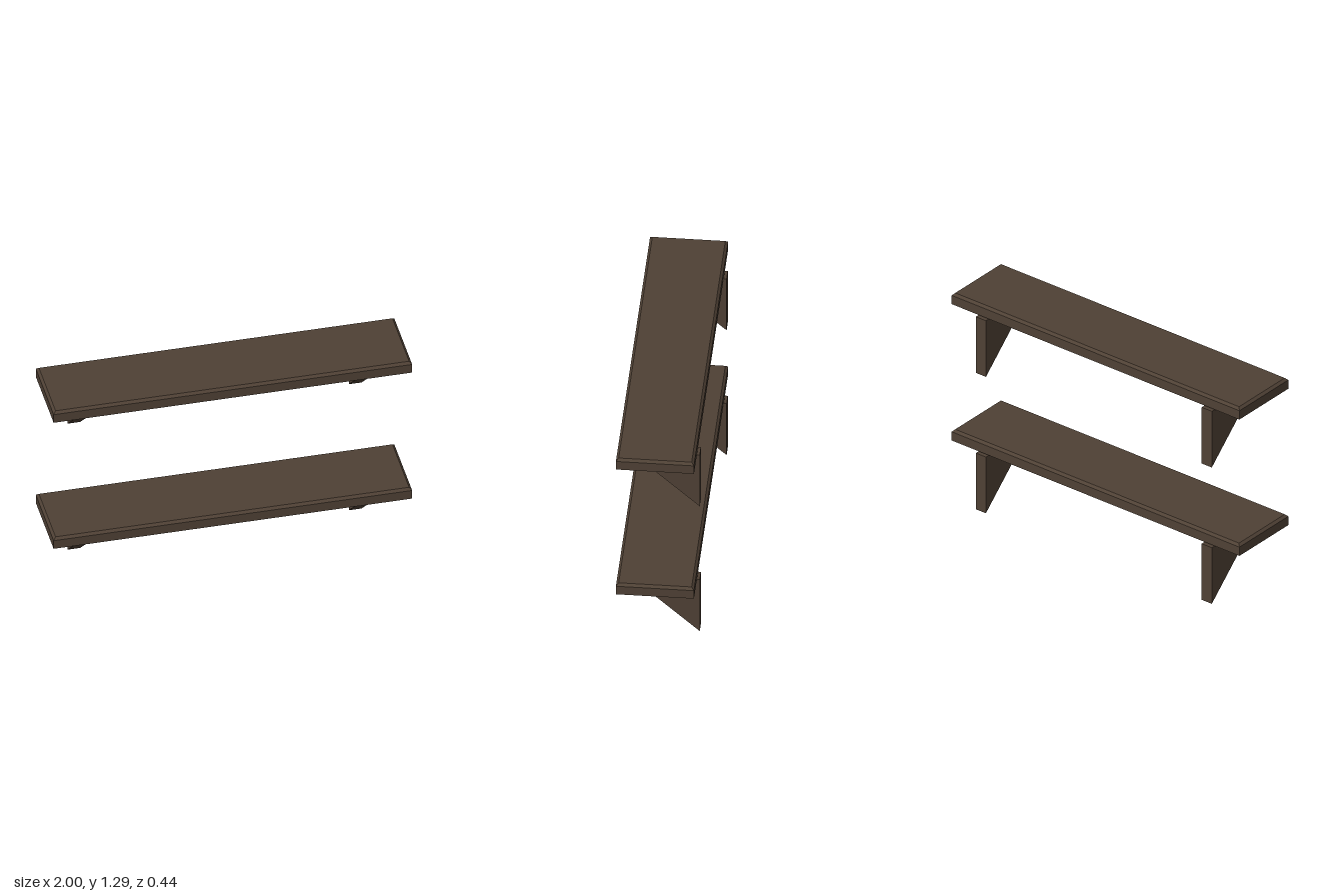
import * as THREE from 'three';

const wood = new THREE.MeshStandardMaterial({ color: 0x4f4135 });
wood.name = 'dark brown wood';

// Plank with a small chamfer around its top edge
function boardGeometry(width, height, depth, chamfer) {
  const geo = new THREE.BoxGeometry(width, height, depth, 1, 2, 1).toNonIndexed();
  const p = geo.attributes.position;
  for (let i = 0; i < p.count; i++) {
    const y = p.getY(i);
    if (Math.abs(y) < 1e-6) {
      p.setY(i, height / 2 - chamfer);
    } else if (y > 0) {
      p.setX(i, p.getX(i) - Math.sign(p.getX(i)) * chamfer);
      p.setZ(i, p.getZ(i) - Math.sign(p.getZ(i)) * chamfer);
    }
  }
  geo.computeVertexNormals();
  return geo;
}

// Triangular bracket: profile drawn as (z, y), extruded along x
function bracketGeometry(thickness) {
  const shape = new THREE.Shape([
    new THREE.Vector2(-0.22, 0),
    new THREE.Vector2(0.165, 0.353),
    new THREE.Vector2(-0.22, 0.353),
  ]);
  const geo = new THREE.ExtrudeGeometry(shape, { depth: thickness, bevelEnabled: false });
  geo.translate(0, 0, -thickness / 2);
  geo.rotateY(-Math.PI / 2);
  return geo;
}

export function createModel() {
  const model = new THREE.Group();
  model.name = 'wallShelves';
  const boardGeo = boardGeometry(2, 0.069, 0.426, 0.014);
  const bracketGeo = bracketGeometry(0.07);

  // Two identical shelves, one above the other
  for (const [name, y] of [['lowerShelf', 0], ['upperShelf', 0.857]]) {
    const shelf = new THREE.Group();
    shelf.name = name;
    shelf.position.y = y;

    const board = new THREE.Mesh(boardGeo, wood);
    board.name = 'board';
    board.position.set(0, 0.3945, 0.008);
    shelf.add(board);

    for (const side of [-1, 1]) {
      const bracket = new THREE.Mesh(bracketGeo, wood);
      bracket.name = side > 0 ? 'leftBracket' : 'rightBracket';
      bracket.position.x = side * 0.785;
      shelf.add(bracket);
    }
    model.add(shelf);
  }
  return model;
}
